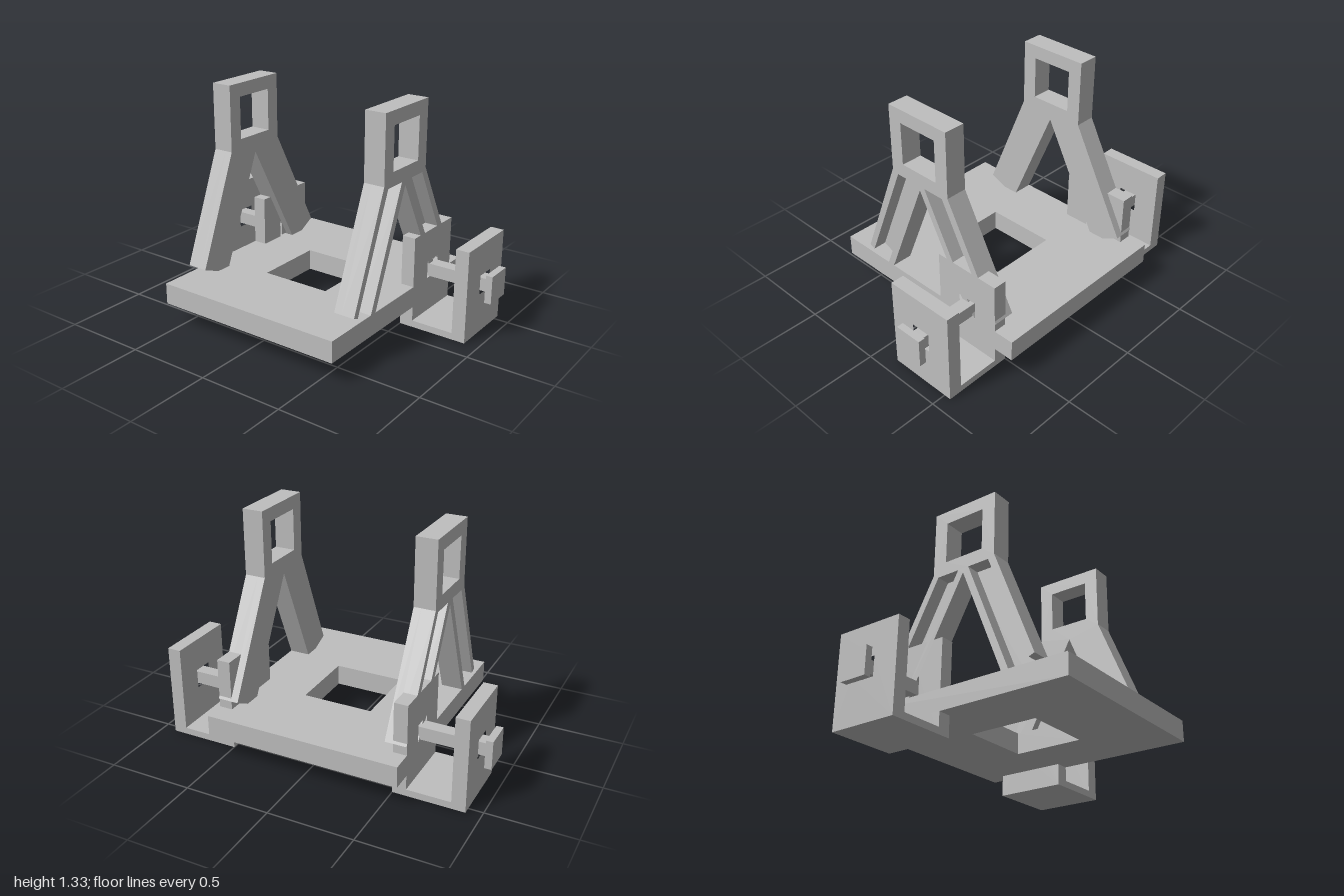
import * as THREE from 'three';

const gray = new THREE.MeshStandardMaterial({ color: 0xbfbfbf });
gray.name = 'plain gray';

const rect = (a0, b0, a1, b1) => [[a0, b0], [a1, b0], [a1, b1], [a0, b1]];
const toPoints = (pts) => pts.map(([a, b]) => new THREE.Vector2(a, b));

function extrude(outline, hole, depth) {
  const shape = new THREE.Shape(toPoints(outline));
  if (hole) shape.holes.push(new THREE.Path(toPoints(hole)));
  return new THREE.ExtrudeGeometry(shape, { depth, bevelEnabled: false });
}

function add(parent, name, geometry) {
  const mesh = new THREE.Mesh(geometry, gray);
  mesh.name = name;
  parent.add(mesh);
}

// Slab with a [z, y] outline between x0 and x1, on the given side (1 or -1)
function slab(parent, name, side, x0, x1, outline, hole) {
  const flip = (pts) => pts && pts.map(([z, y]) => [-z, y]);
  const geometry = extrude(flip(outline), flip(hole), x1 - x0);
  geometry.rotateY(Math.PI / 2);
  geometry.translate(side > 0 ? x0 : -x1, 0, 0);
  add(parent, name, geometry);
}

export function createModel() {
  const model = new THREE.Group();
  model.name = 'standWithSideBrackets';

  // Base plate with a square opening
  const plate = extrude(rect(-0.58, -0.665, 0.58, 0.665), rect(-0.21, -0.21, 0.21, 0.21), 0.125);
  plate.rotateX(-Math.PI / 2);
  plate.translate(0, 0.125, 0);
  add(model, 'basePlate', plate);

  // Tower outline pieces, as [z, y]
  const head = [[-0.21, 0.94], [-0.21, 1.33], [0.21, 1.33], [0.21, 0.94]];
  const headWindow = rect(-0.125, 1, 0.125, 1.25);
  const crotch = [0, 0.895];
  const frontGroove = [[0.435, 0.281], [0.17, 0.92], [0.035, 0.92], [0.31, 0.25]];
  const rearGroove = [[-0.39, 0.25], [-0.035, 0.92], [-0.175, 0.92], [-0.512, 0.285]];
  const solid = [...head, [0.47, 0.295], [0.36, 0.25], [0.265, 0.25], crotch,
    [-0.345, 0.25], [-0.447, 0.25], [-0.55, 0.305]];
  const grooved = [...head, [0.47, 0.295], ...frontGroove, [0.265, 0.25], crotch,
    [-0.345, 0.25], ...rearGroove, [-0.55, 0.305]];

  for (const side of [1, -1]) {
    const label = side > 0 ? 'left' : 'right';

    // Tower: plain inner layer, outer layer with a groove down each leg
    const tower = new THREE.Group();
    tower.name = label + 'Tower';
    slab(tower, 'towerInnerLayer', side, 0.455, 0.5, solid, headWindow);
    slab(tower, 'towerGroovedLayer', side, 0.5, 0.58, grooved, headWindow);
    model.add(tower);

    // U-shaped bracket with a hole through both walls
    const bracket = new THREE.Group();
    bracket.name = label + 'Bracket';
    const wall = rect(-0.542, 0, -0.127, 0.545);
    const boltHole = rect(-0.395, 0.24, -0.28, 0.355);
    slab(bracket, 'bracketInnerWall', side, 0.5, 0.58, wall, boltHole);
    slab(bracket, 'bracketOuterWall', side, 0.835, 0.915, wall, boltHole);
    slab(bracket, 'bracketFloor', side, 0.58, 0.835, rect(-0.542, 0, -0.127, 0.04));

    // Square bolt and its head
    slab(bracket, 'bolt', side, 0.5, 0.96, rect(-0.376, 0.258, -0.299, 0.335));
    slab(bracket, 'boltHead', side, 0.96, 1, rect(-0.418, 0.213, -0.253, 0.378));
    model.add(bracket);
  }
  return model;
}
